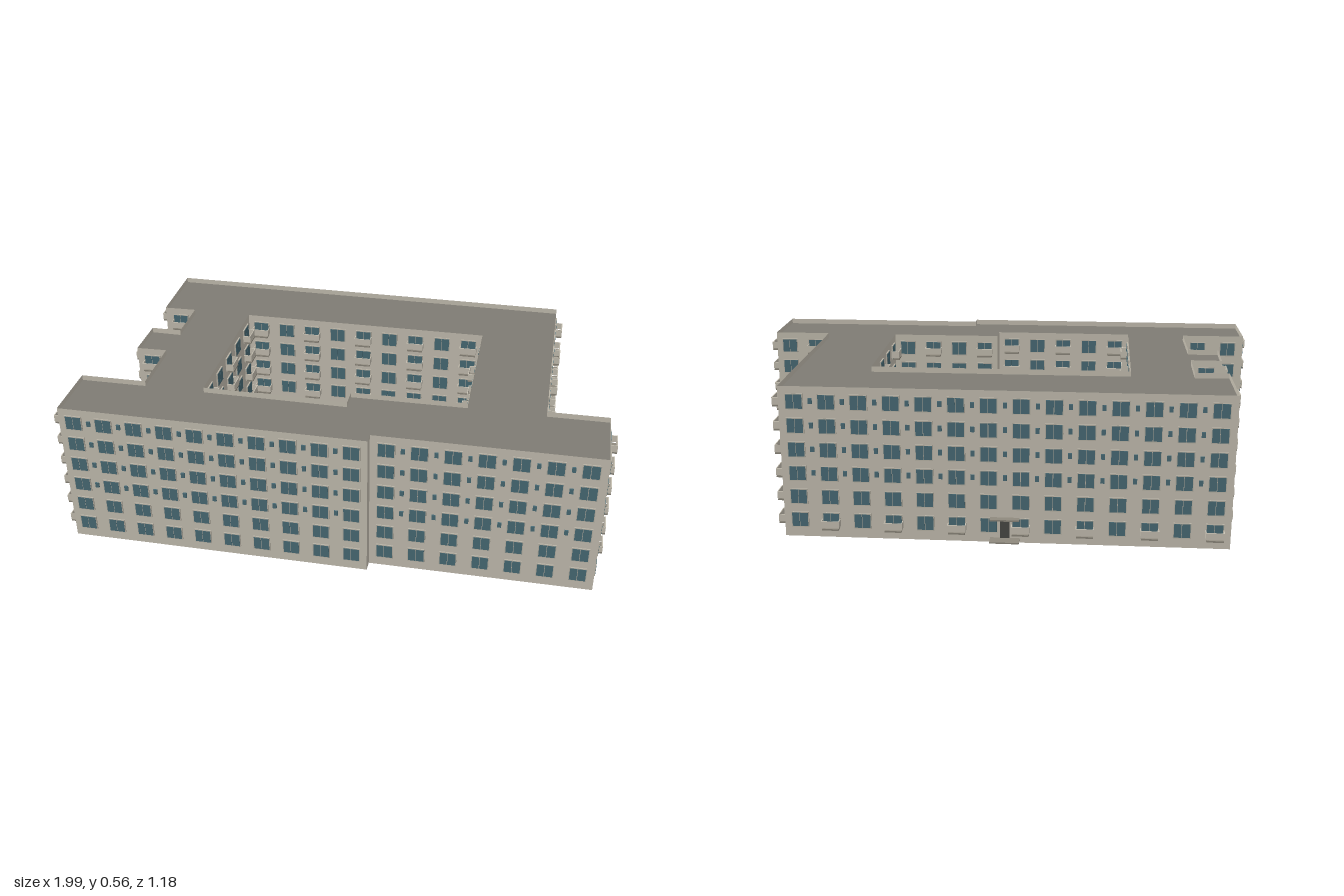
import * as THREE from 'three';
import { mergeGeometries } from 'three/addons/utils/BufferGeometryUtils.js';

const FLOORS = 6, STOREY = 0.0885, HEIGHT = 0.563, ROOF_Y = 0.543;

// Each entry: wall start x, z, then the columns along the wall to the next corner.
// w = window, b = window with balcony, g = balcony on the ground floor only
const OUTER = [
  [-0.86, -0.535, 'gwgwgwgwgwgwgw', true],
  [0.73, -0.553, 'bwbwbwb'],
  [0.74, 0.255, 'bw'],
  [0.96, 0.25, 'bw'],
  [0.965, 0.515, 'wwwwwww', true],
  [0.155, 0.527, ''],
  [0.155, 0.567, 'wwwwwwwwww', true],
  [-0.965, 0.58, 'bw'],
  [-0.97, 0.345, 'ww'],
  [-0.725, 0.34, 'bw'],
  [-0.73, 0.1, 'b'],
  [-0.845, 0.105, 'b'],
  [-0.845, -0.065, 'b'],
  [-0.73, -0.065, 'b'],
  [-0.73, -0.25, 'b'],
  [-0.855, -0.245, 'bw'],
];
const COURTYARD = [
  [0.455, -0.265, 'bwbwbwbwb'],
  [-0.5, -0.25, 'bwbwb'],
  [-0.5, 0.34, 'bwbwb'],
  [0.035, 0.335, ''],
  [0.035, 0.265, 'bwbw'],
  [0.46, 0.255, 'bwbw'],
];

export function createModel() {
  const model = new THREE.Group();
  model.name = 'apartmentBlock';

  const material = (name, color, side = THREE.FrontSide) => {
    const m = new THREE.MeshStandardMaterial({ color, side });
    m.name = name;
    return m;
  };
  const wall = material('beigeWall', 0xc9c3b5, THREE.DoubleSide);
  const roofGrey = material('roofGrey', 0x7f7c74, THREE.DoubleSide);
  const glass = material('tealGlass', 0x4a6d78);
  const frame = material('windowFrame', 0xbab4a7);
  const slab = material('slabGrey', 0x8f8a7e);
  const dark = material('darkDoor', 0x4a4a47);

  const parts = {
    walls: [wall], windowFrames: [frame], windowPanes: [glass], smallWindows: [glass],
    balconySlabs: [slab], balconyPanels: [wall], entranceSlabs: [slab], entranceDoor: [dark],
  };

  // Adds a box to a part, in the local frame of a wall (z points outwards)
  const box = (part, m, w, h, d, x, y, z) =>
    parts[part].push(new THREE.BoxGeometry(w, h, d).translate(x, y, z).applyMatrix4(m));

  function windowAt(m, x, y) {
    box('windowFrames', m, 0.063, 0.057, 0.006, x, y, 0.002);
    box('windowPanes', m, 0.026, 0.051, 0.006, x - 0.0155, y, 0.003);
    box('windowPanes', m, 0.029, 0.051, 0.006, x + 0.014, y, 0.003);
  }

  function balconyAt(m, x, y) {
    const w = 0.066, d = 0.03, t = 0.003, h = 0.026;
    box('balconySlabs', m, w - 0.006, 0.006, d, x, y - 0.027, d / 2);
    box('balconyPanels', m, w, h, t, x, y - 0.008, d - t / 2);
    for (const s of [-1, 1])
      box('balconyPanels', m, t, h, d - t, x + s * (w - t) / 2, y - 0.008, (d - t) / 2);
  }

  function facade([ax, az, columns, small], [bx, bz]) {
    const length = Math.hypot(bx - ax, bz - az);
    const m = new THREE.Matrix4().makeRotationY(Math.atan2(bz - az, ax - bx)).setPosition(ax, 0, az);
    parts.walls.push(new THREE.PlaneGeometry(length, HEIGHT)
      .translate(-length / 2, HEIGHT / 2, 0).applyMatrix4(m));
    const step = length / columns.length;
    [...columns].forEach((type, i) => {
      const x = -(i + 0.5) * step;
      for (let f = 0; f < FLOORS; f++) {
        const y = 0.066 + f * STOREY;
        windowAt(m, x, y);
        if (type === 'b' || (type === 'g' && f === 0)) balconyAt(m, x, y);
        if (small && f > 1 && i < columns.length - 1)
          box('smallWindows', m, 0.014, 0.02, 0.006, x - step / 2, y + 0.002, 0.002);
      }
    });
    return m;
  }

  // Outer walls and courtyard walls
  const facades = [OUTER, COURTYARD].map(ring =>
    ring.map((edge, i) => facade(edge, ring[(i + 1) % ring.length])));

  // Back entrance with step and canopy
  const back = facades[0][0], ex = -0.795;
  box('entranceSlabs', back, 0.105, 0.005, 0.045, ex, 0.015, 0.0225);
  box('entranceSlabs', back, 0.105, 0.006, 0.025, ex, 0.092, 0.0125);
  box('entranceDoor', back, 0.034, 0.068, 0.006, ex, 0.052, 0.002);

  for (const [name, [mat, ...geometries]] of Object.entries(parts)) {
    const mesh = new THREE.Mesh(mergeGeometries(geometries), mat);
    mesh.name = name;
    model.add(mesh);
  }

  // Flat roof, sunk below the top of the walls to leave a parapet
  const outline = ring => ring.map(([x, z]) => new THREE.Vector2(x, -z));
  const shape = new THREE.Shape(outline(OUTER));
  shape.holes.push(new THREE.Path(outline(COURTYARD)));
  const roof = new THREE.Mesh(new THREE.ShapeGeometry(shape).rotateX(-Math.PI / 2), roofGrey);
  roof.position.y = ROOF_Y;
  roof.name = 'roof';
  model.add(roof);

  return model;
}
